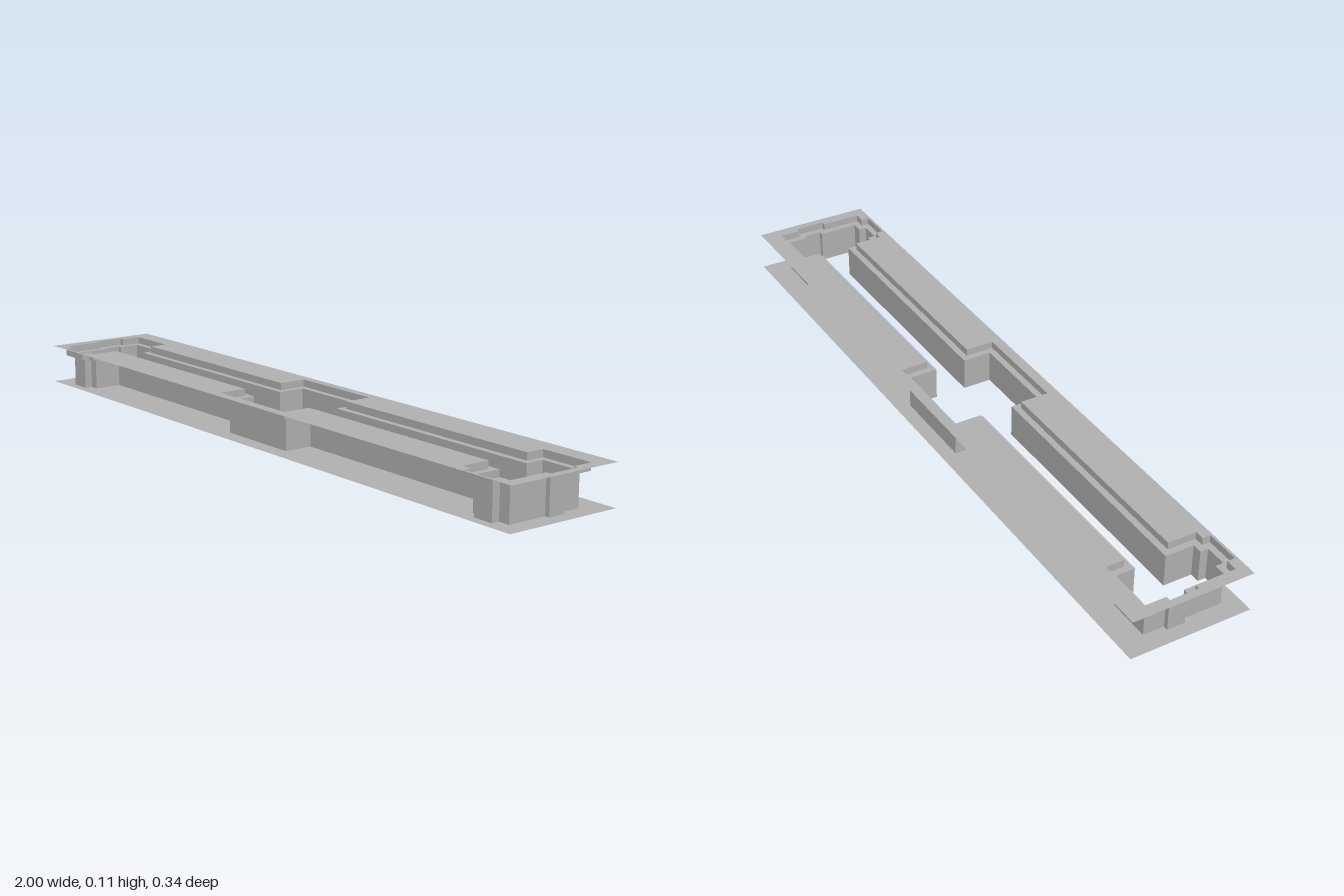
import * as THREE from 'three';

const FLOOR = 0, LEDGE = 0.09, TOP = 0.11;

// Closed plan outline of the slot as [x, z] points, grown outwards by d
function outline(d) {
  // right-hand end, from the back of the slot round to its front
  const end = [
    [0.83 - d, -0.046 - d], [0.83 - d, -0.098 - d], [0.948 + d, -0.098 - d],
    [0.948 + d, -0.04 - d], [0.961 + d, -0.04 - d], [0.961 + d, 0.009 + d],
    [0.948 + d, 0.009 + d], [0.948 + d, 0.121 + d], [0.916 + d, 0.121 + d],
    [0.916 + d, 0.143 + d], [0.857 - d, 0.143 + d], [0.857 - d, 0.121 + d],
    [0.83 - d, 0.121 + d], [0.83 - d, 0.041 + d],
  ];
  const x0 = -0.129 - d, x1 = 0.122 + d, back = -0.124 - d, front = 0.121 + d;
  return [
    [x0, back], [x1, back], [x1, -0.046 - d],
    ...end,
    [x1, 0.041 + d], [x1, front], [x0, front], [x0, 0.041 + d],
    ...end.map(([x, z]) => [-x, z]).reverse(),
    [x0, -0.046 - d],
  ];
}

const toVectors = (pts) => pts.map(([x, z]) => new THREE.Vector2(x, -z));

// Flat horizontal sheet with an opening
function sheet(outer, hole, y) {
  const shape = new THREE.Shape(toVectors(outer));
  shape.holes.push(new THREE.Path(toVectors(hole)));
  return new THREE.ShapeGeometry(shape).rotateX(-Math.PI / 2).translate(0, y, 0);
}

// Upright wall following an outline
function wall(pts, y0, y1) {
  const pos = [];
  pts.forEach(([ax, az], i) => {
    const [bx, bz] = pts[(i + 1) % pts.length];
    pos.push(ax, y0, az, ax, y1, az, bx, y1, bz);
    pos.push(ax, y0, az, bx, y1, bz, bx, y0, bz);
  });
  const g = new THREE.BufferGeometry();
  g.setAttribute('position', new THREE.Float32BufferAttribute(pos, 3));
  g.computeVertexNormals();
  return g;
}

export function createModel() {
  const model = new THREE.Group();
  model.name = 'slottedFrame';
  const grey = new THREE.MeshStandardMaterial({ color: 0xb2b2b2, side: THREE.DoubleSide });
  grey.name = 'plainGrey';

  const add = (name, geometry) => {
    const mesh = new THREE.Mesh(geometry, grey);
    mesh.name = name;
    model.add(mesh);
    return mesh;
  };

  const border = [[-1, -0.168], [1, -0.168], [1, 0.168], [-1, 0.168]];
  const inner = outline(0);
  const outer = outline(0.018);

  // Two cover sheets joined by a stepped well
  add('bottomSheet', sheet(border, inner, FLOOR));
  add('wellWall', wall(inner, FLOOR, LEDGE));
  add('ledge', sheet(outer, inner, LEDGE));
  add('rimWall', wall(outer, LEDGE, TOP));
  add('topSheet', sheet(border, outer, TOP));

  // Slight thickening low on the back of the middle bay
  add('middleBayPad', new THREE.BoxGeometry(0.251, 0.062, 0.004).translate(-0.0035, 0.031, -0.126));

  return model;
}
